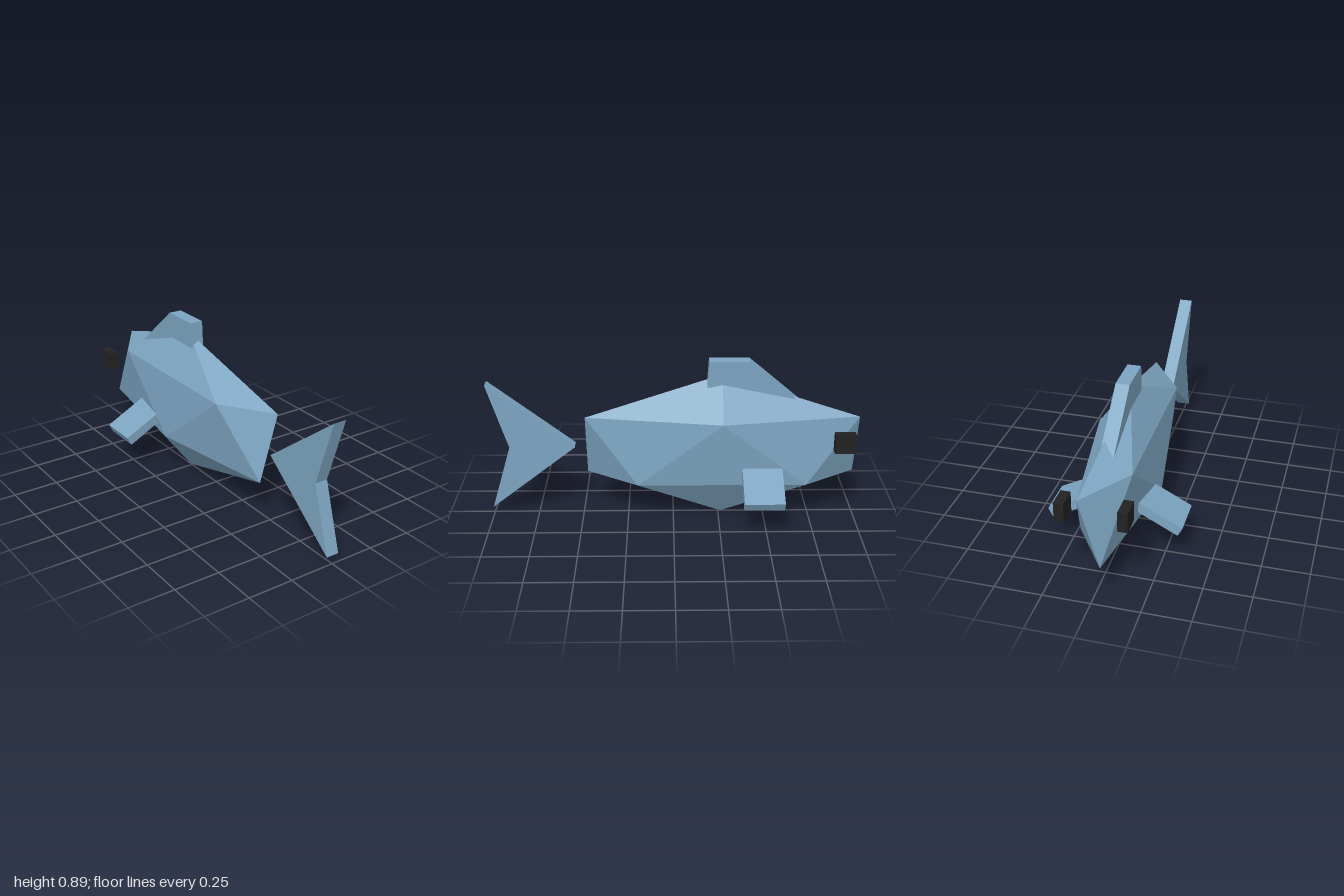
import * as THREE from 'three';
import { ConvexGeometry } from 'three/addons/geometries/ConvexGeometry.js';

export function createModel() {
  const fish = new THREE.Group();
  fish.name = 'fish';
  const skin = new THREE.MeshStandardMaterial({ name: 'fishBlue', color: 0x7ca4c0, flatShading: true });
  const black = new THREE.MeshStandardMaterial({ name: 'eyeBlack', color: 0x222222, flatShading: true });

  const add = (name, geometry, material) => {
    const mesh = new THREE.Mesh(geometry, material);
    mesh.name = name;
    fish.add(mesh);
    return mesh;
  };

  // Body: a stretched icosahedron made of two poles and two rings of five
  const points = [new THREE.Vector3(0, 1, 0), new THREE.Vector3(0, -1, 0)];
  const ringRadius = 2 / Math.sqrt(5), ringHeight = 1 / Math.sqrt(5);
  for (let i = 0; i < 5; i++) {
    const a = (i * 2 * Math.PI) / 5;
    const x = ringRadius * Math.cos(a), z = ringRadius * Math.sin(a);
    points.push(new THREE.Vector3(x, ringHeight, z), new THREE.Vector3(-x, -ringHeight, -z));
  }
  const bodySize = new THREE.Vector3(0.188, 0.407, 0.867);
  const bodyCentre = new THREE.Vector3(0, 0.407, -0.263);
  points.forEach((p) => p.multiply(bodySize).add(bodyCentre));
  add('body', new ConvexGeometry(points), skin);

  // Upright fins: flat outlines given as [z, y], extruded across x
  const finThickness = 0.072;
  const uprightFin = (name, outline) => {
    const shape = new THREE.Shape(outline.map(([z, y]) => new THREE.Vector2(z, y)));
    const geometry = new THREE.ExtrudeGeometry(shape, { depth: finThickness, bevelEnabled: false });
    geometry.rotateY(-Math.PI / 2).translate(finThickness / 2, 0, 0);
    add(name, geometry, skin);
  };
  uprightFin('tailFin', [[0.535, 0.408], [1, 0.048], [0.89, 0.408], [1, 0.768]]);
  uprightFin('dorsalFin', [[-0.73, 0.62], [-0.172, 0.62], [-0.19, 0.895], [-0.405, 0.895]]);

  // Side fins and eyes, mirrored
  for (const [side, s] of [['left', 1], ['right', -1]]) {
    const fin = add(`${side}SideFin`, new THREE.BoxGeometry(0.28, 0.052, 0.215), skin);
    fin.position.set(s * 0.218, 0.26, -0.478);
    fin.rotation.z = -s * 0.48;

    const eye = add(`${side}Eye`, new THREE.BoxGeometry(0.05, 0.106, 0.11), black);
    eye.position.set(s * 0.155, 0.481, -0.911);
  }
  return fish;
}
